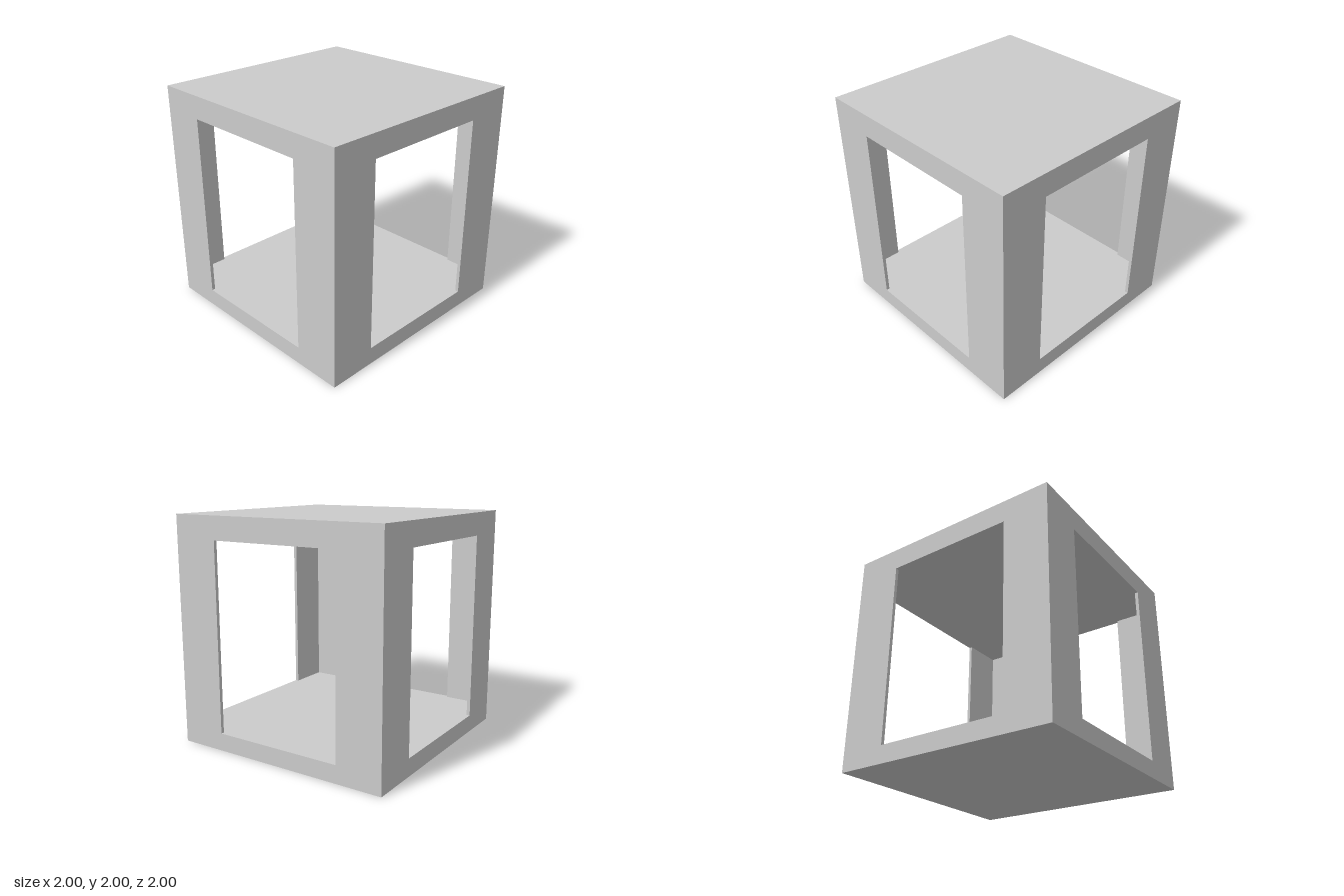
import * as THREE from 'three';

const FLOOR = 0.155, CEILING = 1.8, WALL = 0.03;

export function createModel() {
  const group = new THREE.Group();
  const material = new THREE.MeshStandardMaterial({ color: 0xcccccc });

  const add = (name, geometry, y) => {
    const mesh = new THREE.Mesh(geometry, material);
    mesh.name = name;
    mesh.position.y = y;
    group.add(mesh);
  };

  // Solid floor and roof slabs
  add('floorSlab', new THREE.BoxGeometry(2, FLOOR, 2), FLOOR / 2);
  add('roofSlab', new THREE.BoxGeometry(2, 2 - CEILING, 2), (2 + CEILING) / 2);

  // Thin L-shaped corner posts; the gaps between them are the openings
  const edgeX = { '1': 0.585, '-1': 0.595 };
  const edgeZ = { '1': 0.59, '-1': 0.58 };
  const inner = 1 - WALL;
  for (const sx of [1, -1]) {
    for (const sz of [1, -1]) {
      const ex = edgeX[sx], ez = edgeZ[sz];
      // Plan outline in (x, -z), which the rotation below turns into (x, z)
      const outline = [[1, 1], [1, ez], [inner, ez], [inner, inner], [ex, inner], [ex, 1]]
        .map(([x, z]) => new THREE.Vector2(sx * x, -sz * z));
      const post = new THREE.ExtrudeGeometry(new THREE.Shape(outline), {
        depth: CEILING - FLOOR, bevelEnabled: false,
      });
      post.rotateX(-Math.PI / 2);
      add((sz > 0 ? 'front' : 'back') + (sx > 0 ? 'Left' : 'Right') + 'CornerPost', post, FLOOR);
    }
  }
  return group;
}
